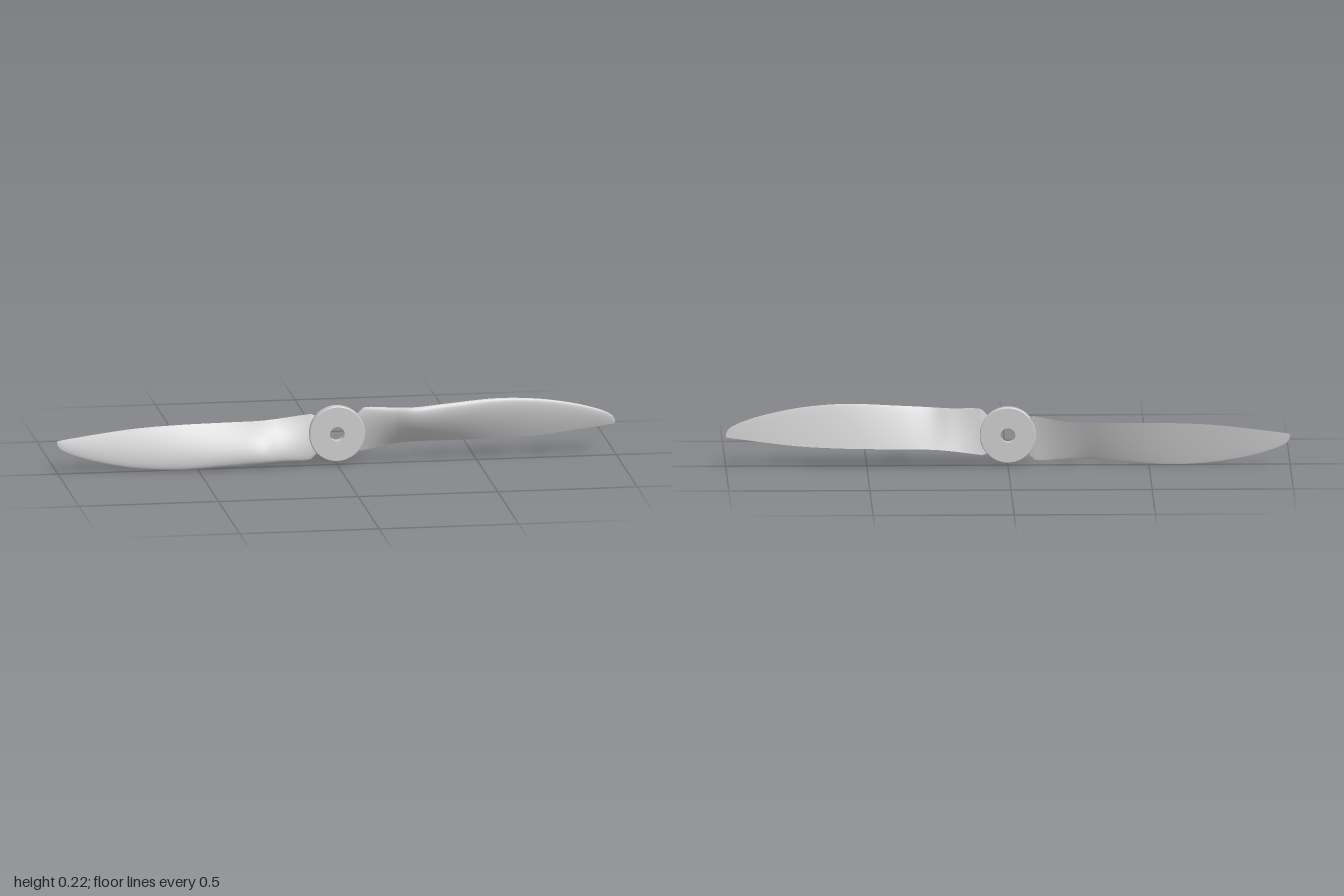
import * as THREE from 'three';
import { toCreasedNormals } from 'three/addons/utils/BufferGeometryUtils.js';

const AXIS_Y = 0.111; // height of the shaft axis
const material = new THREE.MeshStandardMaterial({ color: 0xcccccc, side: THREE.DoubleSide });

// Blade stations: x, leading edge y and z, trailing edge y and z, thickness
const stations = [
  [0.06, 0.165, -0.006, 0.06, -0.02, 0.008],
  [0.085, 0.194, -0.004, 0.043, -0.025, 0.012],
  [0.11, 0.205, -0.002, 0.044, -0.029, 0.015],
  [0.2, 0.203, 0.012, 0.058, -0.043, 0.021],
  [0.28, 0.205, 0.028, 0.064, -0.042, 0.028],
  [0.4, 0.213, 0.018, 0.065, -0.039, 0.024],
  [0.57, 0.222, 0.005, 0.067, -0.034, 0.018],
  [0.72, 0.213, -0.005, 0.074, -0.031, 0.013],
  [0.85, 0.19, -0.014, 0.088, -0.029, 0.009],
  [0.94, 0.164, -0.02, 0.1, -0.027, 0.006],
  [0.985, 0.142, -0.023, 0.106, -0.026, 0.003],
  [1.0, 0.122, -0.025, 0.109, -0.026, 0],
];

const curveOf = (pick) => new THREE.CatmullRomCurve3(
  stations.map((s) => new THREE.Vector3(...pick(s))), false, 'catmullrom', 0.5);

// Twisted airfoil lofted along the stations
function bladeGeometry(steps = 77, n = 16) {
  const leading = curveOf((s) => [s[0], s[1], s[2]]);
  const trailing = curveOf((s) => [s[0], s[3], s[4]]);
  const thickness = curveOf((s) => [s[0], s[5], 0]);
  const positions = [], index = [];
  const ring = 2 * n + 1;
  for (let i = 0; i <= steps; i++) {
    const le = leading.getPoint(i / steps);
    const te = trailing.getPoint(i / steps);
    const t = Math.max(0, thickness.getPoint(i / steps).y);
    const chord = te.clone().sub(le);
    const length = Math.hypot(chord.y, chord.z);
    const ny = chord.z / length, nz = -chord.y / length; // towards the front
    for (let j = 0; j < ring; j++) {
      // up the cambered front from trailing to leading edge, then down the flat back
      const u = (1 - j / n) ** 2;
      const shape = Math.sqrt(u) * (1 - u) / 0.385;
      const offset = t * shape * (j <= n ? 1 : -0.08);
      positions.push(le.x, le.y + chord.y * u + ny * offset - AXIS_Y, le.z + chord.z * u + nz * offset);
      if (i < steps && j < ring - 1) {
        const a = i * ring + j, b = a + ring;
        index.push(a, b, a + 1, b, b + 1, a + 1);
      }
    }
  }
  const geometry = new THREE.BufferGeometry();
  geometry.setAttribute('position', new THREE.Float32BufferAttribute(positions, 3));
  geometry.setIndex(index);
  geometry.computeVertexNormals();
  return geometry;
}

// Flat disc with a shaft hole and slightly eased rims
function hubGeometry() {
  const inner = 0.026, outer = 0.1, back = -0.025, front = 0.006, e = 0.003;
  const profile = [
    [inner, back], [outer - e, back], [outer, back + e],
    [outer, front - e], [outer - e, front], [inner, front], [inner, back],
  ].map(([r, z]) => new THREE.Vector2(r, z));
  const geometry = new THREE.LatheGeometry(profile, 64);
  geometry.rotateX(Math.PI / 2);
  return toCreasedNormals(geometry, 0.5);
}

export function createModel() {
  const propeller = new THREE.Group();
  propeller.name = 'propeller';

  const hub = new THREE.Mesh(hubGeometry(), material);
  hub.name = 'hub';
  hub.position.y = AXIS_Y;
  propeller.add(hub);

  // Two identical blades, half a turn apart
  const geometry = bladeGeometry();
  ['leftBlade', 'rightBlade'].forEach((name, k) => {
    const blade = new THREE.Mesh(geometry, material);
    blade.name = name;
    blade.position.y = AXIS_Y;
    blade.rotation.z = k * Math.PI;
    propeller.add(blade);
  });
  return propeller;
}
